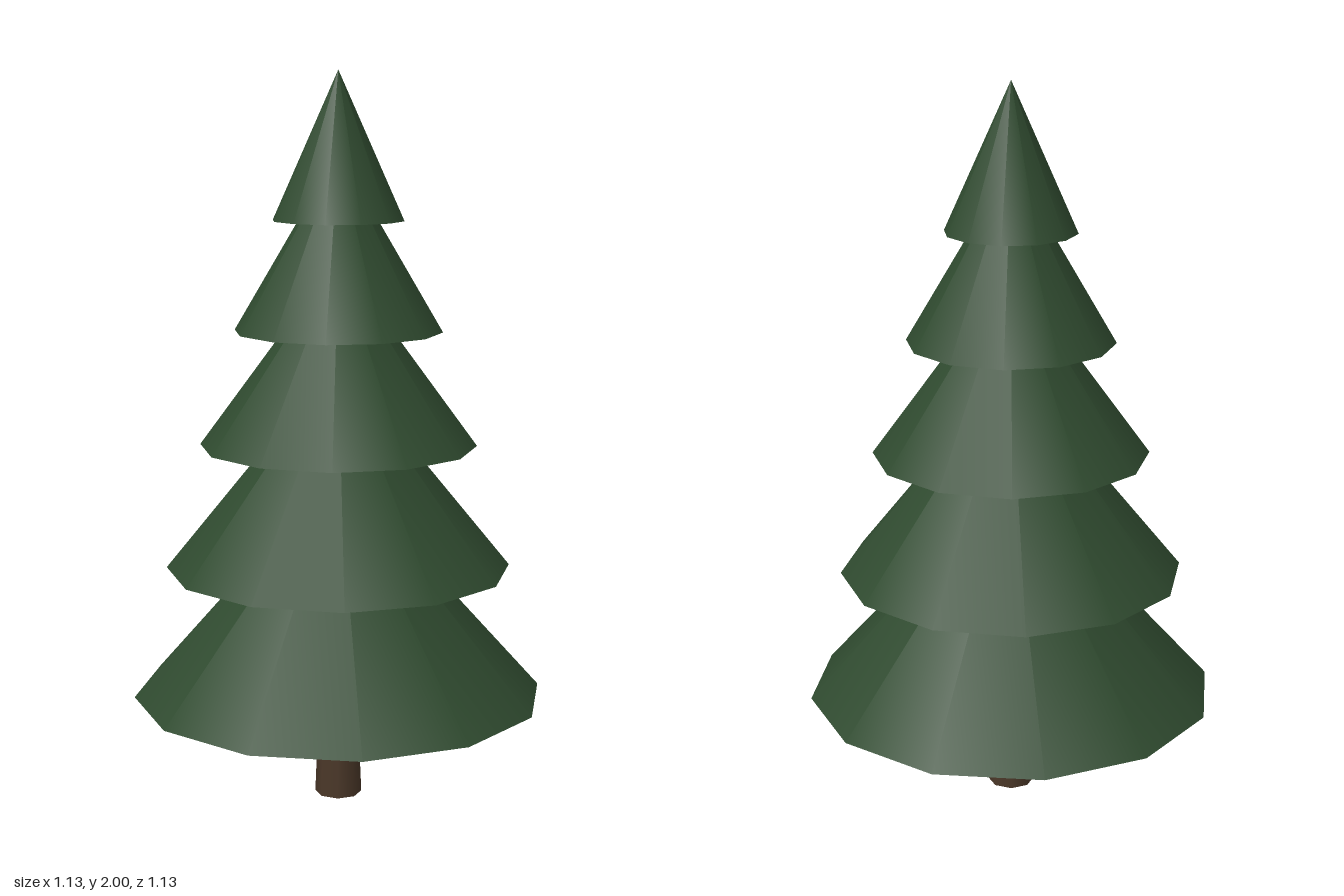
import * as THREE from 'three';

const needleGreen = new THREE.MeshStandardMaterial({ name: 'needleGreen', color: 0x2f4a2f });
const barkBrown = new THREE.MeshStandardMaterial({ name: 'barkBrown', color: 0x4a3728 });

// Foliage tiers from bottom to top: base height, base radius, cone height
const TIERS = [
  [0.295, 0.567, 0.635],
  [0.655, 0.473, 0.58],
  [0.995, 0.378, 0.515],
  [1.308, 0.283, 0.48],
  [1.605, 0.179, 0.395],
];

export function createModel() {
  const tree = new THREE.Group();
  tree.name = 'pineTree';

  // Tapered trunk, its top hidden inside the lowest tier
  const trunkHeight = 0.4;
  const trunk = new THREE.Mesh(new THREE.CylinderGeometry(0.048, 0.065, trunkHeight, 8), barkBrown);
  trunk.name = 'trunk';
  trunk.position.y = trunkHeight / 2;
  tree.add(trunk);

  // Overlapping twelve-sided cones, each turned a little from the one below
  const foliage = new THREE.Group();
  foliage.name = 'foliage';
  TIERS.forEach(([base, radius, height], i) => {
    const tier = new THREE.Mesh(new THREE.ConeGeometry(radius, height, 12), needleGreen);
    tier.name = `foliageTier${i + 1}`;
    tier.position.y = base + height / 2;
    tier.rotation.y = 0.4 + i * 0.45;
    foliage.add(tier);
  });
  tree.add(foliage);

  return tree;
}
